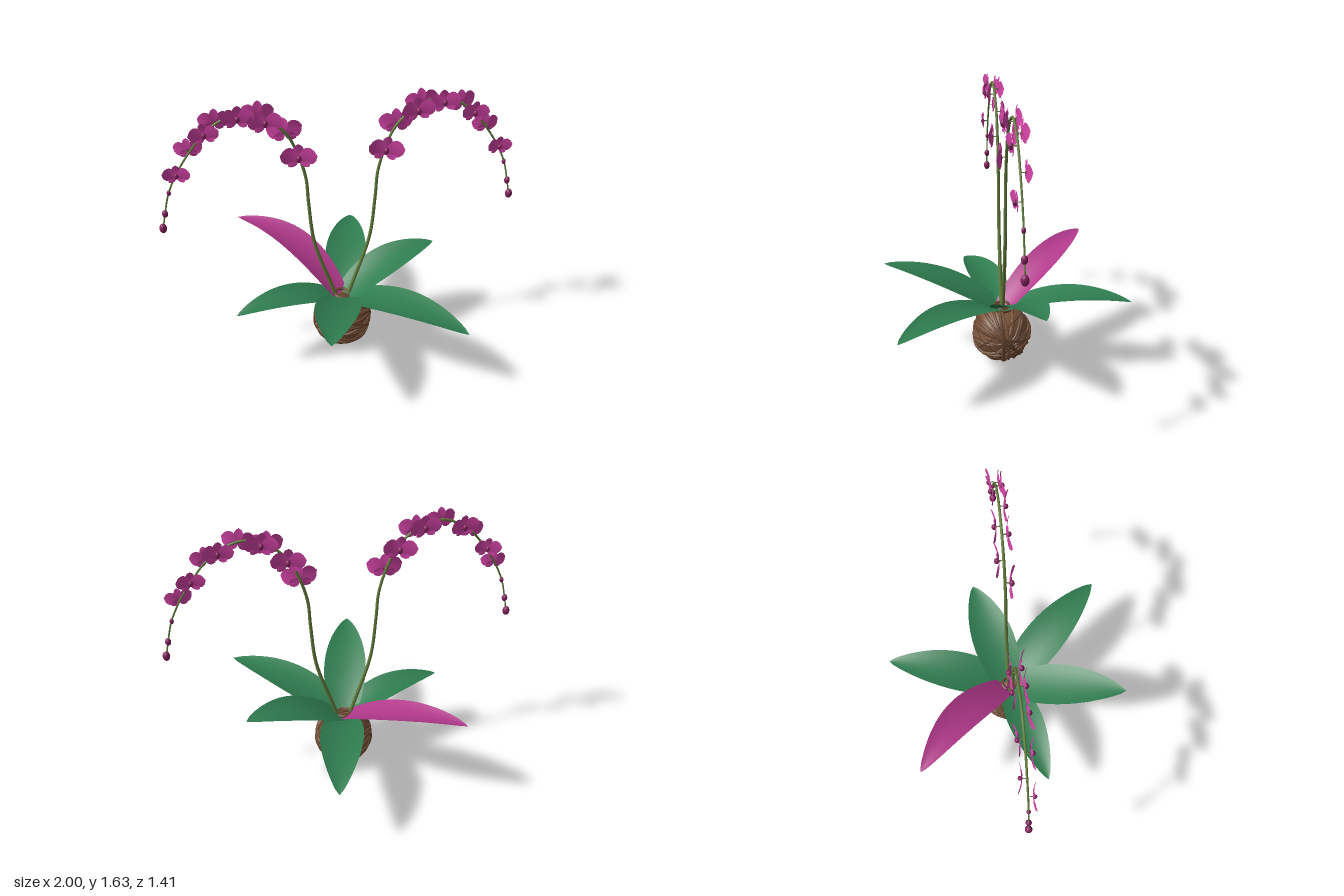
import * as THREE from 'three';
import { mergeGeometries } from 'three/addons/utils/BufferGeometryUtils.js';

const paint = (name, color, side = THREE.FrontSide) => {
  const m = new THREE.MeshStandardMaterial({ color, side });
  m.name = name;
  return m;
};
const MAT = {
  green: paint('leaf green', 0x2f7d50, THREE.DoubleSide),
  plum: paint('magenta leaf', 0xb0388a, THREE.DoubleSide),
  petal: paint('pink petal', 0xd644a8, THREE.DoubleSide),
  bud: paint('dark magenta bud', 0x86225f),
  stem: paint('olive stem', 0x66813f),
  ball: paint('brown moss', 0x7d5539),
  twine: paint('dark twine', 0x6a4731),
};
const CENTER_Z = 0.017;

function add(parent, name, geometry, material) {
  const mesh = new THREE.Mesh(geometry, material);
  mesh.name = name;
  parent.add(mesh);
  return mesh;
}

function seeded(seed) {
  return () => {
    seed = (seed * 16807) % 2147483647;
    return seed / 2147483647;
  };
}

// Curved sheet: place(t, u) gives a point for t along and u (-1..1) across
function sheet(across, along, place) {
  const geo = new THREE.PlaneGeometry(1, 1, across, along);
  const pos = geo.attributes.position, uv = geo.attributes.uv;
  for (let i = 0; i < pos.count; i++) {
    const p = place(uv.getY(i), uv.getX(i) * 2 - 1);
    pos.setXYZ(i, p.x, p.y, p.z);
  }
  geo.computeVertexNormals();
  return geo;
}

// Arched, cupped leaf from the crown to a tip; crest is the height of its bend
function leafGeometry({ tip, crest, half, bow = 0 }) {
  const base = new THREE.Vector3(0, 0.325, CENTER_Z);
  const end = new THREE.Vector3(...tip);
  const flat = new THREE.Vector3(end.x - base.x, 0, end.z - base.z).normalize();
  const side = new THREE.Vector3(-flat.z, 0, flat.x);
  const mid = base.clone().lerp(end, 0.5).setY(crest);
  const rib = new THREE.QuadraticBezierCurve3(base, mid, end);
  return sheet(8, 24, (t, u) => {
    const w = half * Math.pow(Math.max(0, Math.sin(Math.PI * Math.pow(0.12 + 0.88 * t, 0.9))), 0.75);
    const p = rib.getPoint(t).addScaledVector(side, u * w + bow * Math.sin(Math.PI * t));
    p.y += 0.022 * u * u * w / half;
    return p;
  });
}

// One petal in the flower plane, turned by angle from straight up
function petalGeometry(length, half, angle, curl) {
  const geo = sheet(4, 8, (t, u) => {
    const w = half * Math.pow(Math.max(0, Math.sin(Math.PI * Math.pow(0.05 + 0.95 * t, 1.25))), 0.65);
    return new THREE.Vector3(u * w, length * t, curl * t * t - 0.06 * u * u * w);
  });
  return geo.rotateZ(angle);
}

function flowerGeometry() {
  return mergeGeometries([
    petalGeometry(0.82, 0.27, 0, 0.1),
    petalGeometry(0.75, 0.25, 2.3, 0.12),
    petalGeometry(0.75, 0.25, -2.3, 0.12),
    petalGeometry(1, 0.5, 1.38, 0.2).translate(0, 0, 0.04),
    petalGeometry(1, 0.5, -1.38, 0.2).translate(0, 0, 0.04),
  ]);
}

// Tube that narrows from r0 to r1
function taperedTube(curve, steps, r0, r1) {
  const sides = 8;
  const geo = new THREE.TubeGeometry(curve, steps, 1, sides);
  const pos = geo.attributes.position;
  const p = new THREE.Vector3();
  for (let i = 0; i < pos.count; i++) {
    const t = Math.floor(i / (sides + 1)) / steps;
    const c = curve.getPointAt(t);
    p.fromBufferAttribute(pos, i).sub(c).multiplyScalar(r0 + (r1 - r0) * t).add(c);
    pos.setXYZ(i, p.x, p.y, p.z);
  }
  return geo;
}

// Ball of moss bound with loops of twine that meet near its sides
function rootBall() {
  const g = new THREE.Group();
  g.name = 'rootBall';
  g.position.set(0, 0.177, CENTER_Z + 0.003);
  add(g, 'mossCore', new THREE.SphereGeometry(0.166, 40, 28), MAT.ball);
  const rand = seeded(77);
  const count = 24;
  for (let i = 0; i < count; i++) {
    const turn = (i / count) * Math.PI + (rand() - 0.5) * 0.15;
    const normal = new THREE.Vector3((rand() - 0.5) * 0.75, Math.cos(turn), Math.sin(turn)).normalize();
    const loop = add(g, 'twineLoop', new THREE.TorusGeometry(0.163 + rand() * 0.006, 0.007 + rand() * 0.003, 6, 48),
      i % 3 ? MAT.twine : MAT.ball);
    loop.quaternion.setFromUnitVectors(new THREE.Vector3(0, 0, 1), normal);
    loop.position.copy(normal).multiplyScalar((rand() - 0.5) * 0.04);
  }
  // Small knot of twine around the crown
  for (let i = 0; i < 3; i++) {
    const knot = add(g, 'crownTwine', new THREE.TorusGeometry(0.06 - i * 0.009, 0.009, 6, 28), MAT.twine);
    knot.rotation.set(Math.PI / 2 + (i - 1) * 0.12, 0.1 * (1 - i), 0);
    knot.position.y = 0.155 + i * 0.009;
  }
  return g;
}

const STEM = [[0.03, 0.31], [0.064, 0.425], [0.16, 0.746], [0.187, 1.01], [0.198, 1.17], [0.235, 1.31], [0.294, 1.44],
  [0.406, 1.54], [0.54, 1.573], [0.695, 1.495], [0.79, 1.385], [0.87, 1.265], [0.925, 1.15], [0.957, 1.03], [0.978, 0.94]];

// Flowers alternate between the front and the back of the stem
const FLOWERS = [[0.235, 1.31], [0.3, 1.44], [0.4, 1.525], [0.433, 1.55], [0.54, 1.56],
  [0.652, 1.53], [0.71, 1.485], [0.8, 1.385], [0.87, 1.27]];
const FACING = [1, -1, 1, -1, 1, -1, 1, -1, 1];
const BUDS = [[0.922, 1.155, 0.011, 0.016], [0.957, 1.03, 0.016, 0.022], [0.978, 0.94, 0.02, 0.028]];

function spray(sign, petals) {
  const g = new THREE.Group();
  g.name = sign > 0 ? 'leftSpray' : 'rightSpray';
  g.position.z = CENTER_Z;
  const curve = new THREE.CatmullRomCurve3(STEM.map(([x, y]) => new THREE.Vector3(sign * x, y, 0)));
  add(g, 'stem', taperedTube(curve, 90, 0.0115, 0.004), MAT.stem);
  const rand = seeded(sign > 0 ? 31 : 57);
  FLOWERS.forEach(([x, y], i) => {
    const flower = new THREE.Group();
    flower.name = 'flower';
    const size = 0.1 - 0.026 * (i / (FLOWERS.length - 1));
    flower.position.set(sign * x, y, FACING[i] * 0.024);
    flower.rotation.set(0, (FACING[i] < 0 ? Math.PI : 0) + (rand() - 0.5) * 0.3, (rand() - 0.5) * 0.3);
    flower.scale.setScalar(size);
    add(flower, 'petals', petals, MAT.petal);
    const lip = add(flower, 'lip', new THREE.SphereGeometry(0.15, 12, 8), MAT.bud);
    lip.scale.y = 1.4;
    lip.position.set(0, -0.04, 0.12);
    const stalk = add(flower, 'flowerStalk', new THREE.CylinderGeometry(0.035, 0.035, 0.26, 6), MAT.stem);
    stalk.rotation.x = Math.PI / 2;
    stalk.position.z = -0.12;
    g.add(flower);
  });
  for (const [x, y, r, h] of BUDS) {
    const bud = add(g, 'bud', new THREE.SphereGeometry(1, 14, 10), MAT.bud);
    bud.scale.set(r, h, r);
    bud.position.set(sign * x, y, 0);
  }
  return g;
}

export function createModel() {
  const model = new THREE.Group();
  model.name = 'pottedFlower';
  model.add(rootBall());

  // Six leaves, high and low in turn
  const leaves = [
    { tip: [-0.56, 0.605, -0.545], crest: 0.645, half: 0.105, bow: 0.045, mat: MAT.plum },
    { tip: [0.195, 0.425, -0.71], crest: 0.5, half: 0.125 },
    { tip: [0.6, 0.54, -0.15], crest: 0.55, half: 0.13 },
    { tip: [0.59, 0.44, 0.612], crest: 0.52, half: 0.125 },
    { tip: [-0.185, 0.57, 0.7], crest: 0.535, half: 0.13 },
    { tip: [-0.637, 0.415, 0.19], crest: 0.495, half: 0.105 },
  ];
  for (const leaf of leaves) add(model, 'leaf', leafGeometry(leaf), leaf.mat || MAT.green);

  const petals = flowerGeometry();
  for (const sign of [1, -1]) model.add(spray(sign, petals));
  return model;
}
